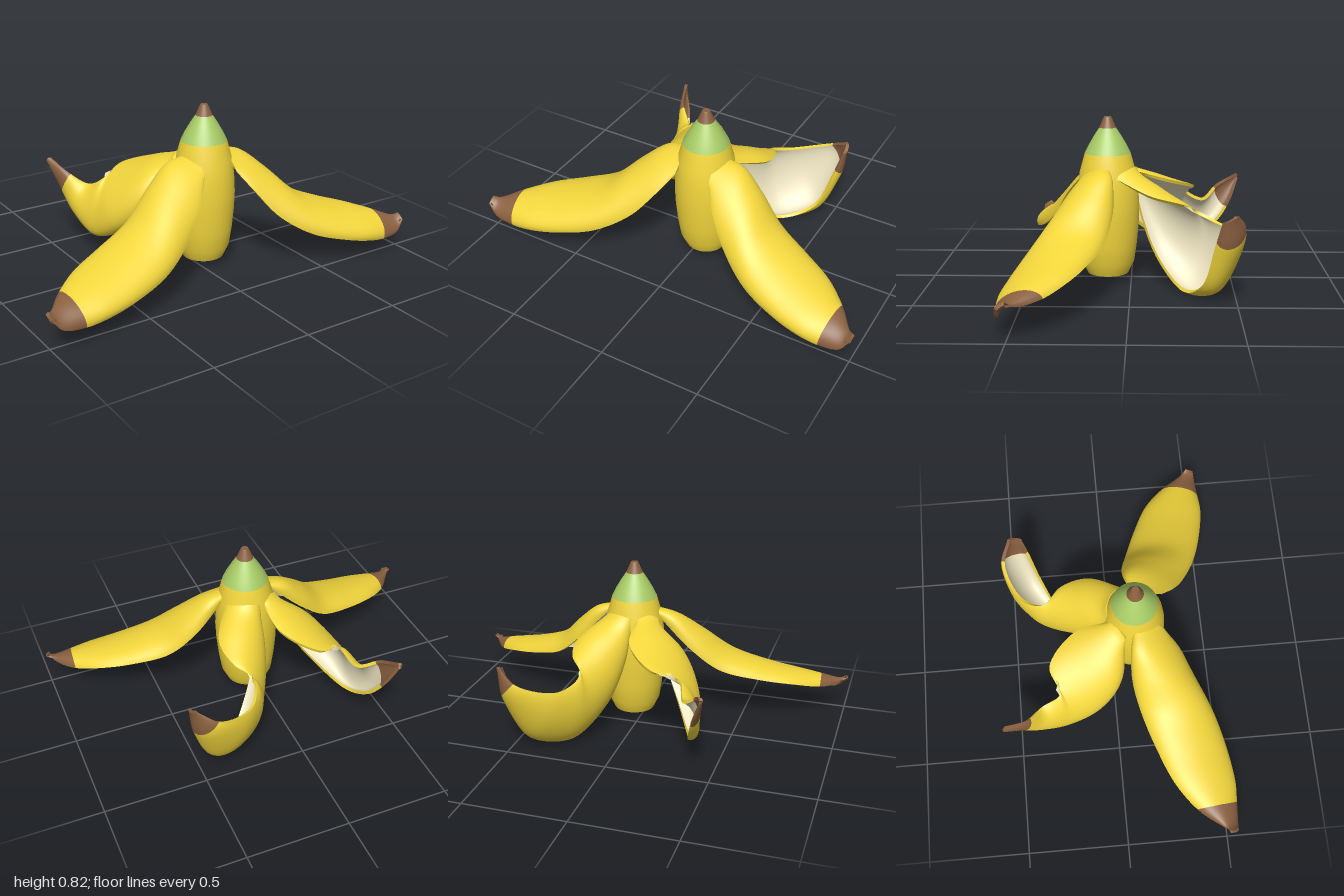
import * as THREE from 'three';

const mat = (color, side = THREE.DoubleSide) => new THREE.MeshStandardMaterial({ color, side });
const YELLOW = mat(0xf2d63c), GREEN = mat(0xa9cc66), BROWN = mat(0x8a6040), CREAM = mat(0xede4c0);
const CORE = { x: 0.045, z: 0.115 };

function addMesh(parent, name, geometry, material) {
  const mesh = new THREE.Mesh(geometry, material);
  mesh.name = name;
  parent.add(mesh);
  return mesh;
}

// Grid surface over point function f(a, b), a and b in 0..1
function sheet(f, na, nb, flip) {
  const pos = [], idx = [];
  for (let i = 0; i <= na; i++)
    for (let j = 0; j <= nb; j++) pos.push(...f(i / na, j / nb).toArray());
  for (let i = 0; i < na; i++)
    for (let j = 0; j < nb; j++) {
      const a = i * (nb + 1) + j, b = a + 1, c = a + nb + 1, d = c + 1;
      idx.push(...(flip ? [a, c, b, b, c, d] : [a, b, c, b, d, c]));
    }
  const g = new THREE.BufferGeometry();
  g.setAttribute('position', new THREE.Float32BufferAttribute(pos, 3));
  g.setIndex(idx);
  g.computeVertexNormals();
  return g;
}

// Peel: curved strip through two edge curves and a ridge curve, with thickness
function makePeel(name, edgeA, ridge, edgeB, brownAt) {
  const group = new THREE.Group();
  group.name = name;
  const [A, M, B] = [edgeA, ridge, edgeB].map(
    pts => new THREE.CatmullRomCurve3(pts.map(p => new THREE.Vector3(...p)), false, 'centripetal'));

  // elliptical cross-section from edge A over the ridge to edge B
  const outer = (t, v) => {
    const a = A.getPoint(t), b = B.getPoint(t), mid = a.clone().lerp(b, 0.5);
    const bulge = M.getPoint(t).sub(mid);
    return mid.addScaledVector(b.sub(a), -0.5 * Math.cos(Math.PI * v))
      .addScaledVector(bulge, Math.sin(Math.PI * v));
  };
  const rawNormal = (t, v) => {
    const e = 0.004, t0 = Math.max(t - e, 0), t1 = Math.min(t + e, 1);
    const v0 = Math.max(v - e, 0.002), v1 = Math.min(v + e, 0.998);
    const dt = outer(t1, v).sub(outer(t0, v)), dv = outer(t, v1).sub(outer(t, v0));
    return dv.cross(dt).normalize();
  };
  const out = M.getPoint(0.4).sub(A.getPoint(0.4).lerp(B.getPoint(0.4), 0.5));
  const sign = Math.sign(rawNormal(0.4, 0.5).dot(out));
  const inner = (t, v) => outer(t, v).addScaledVector(rawNormal(t, v), -0.016 * sign);

  const section = (label, t0, t1, n, skin, lining) => {
    const at = s => t0 + (t1 - t0) * s;
    addMesh(group, label + 'Skin', sheet((s, v) => outer(at(s), v), n, 24, sign < 0), skin);
    addMesh(group, label + 'Lining', sheet((s, v) => inner(at(s), v), n, 24, sign > 0), lining);
    for (const v of [0, 1])
      addMesh(group, label + 'Rim', sheet((s, k) => outer(at(s), v).lerp(inner(at(s), v), k), n, 1, v > 0), skin);
  };
  section('peel', 0, brownAt, 40, YELLOW, CREAM);
  section('tip', brownAt, 1, 10, BROWN, BROWN);
  for (const [t, m] of [[0, YELLOW], [1, BROWN]])
    addMesh(group, 'endRim', sheet((v, k) => outer(t, v).lerp(inner(t, v), k), 24, 1, t > 0), m);
  return group;
}

export function createModel() {
  const model = new THREE.Group();
  model.name = 'peeledBanana';

  // Upright body: yellow base, green neck, brown stem
  const body = new THREE.Group();
  body.name = 'body';
  body.position.set(CORE.x, 0, CORE.z);
  const lathe = (name, pts, m) =>
    addMesh(body, name, new THREE.LatheGeometry(pts.map(p => new THREE.Vector2(...p)), 40), m);
  lathe('fruit', [[0.102, 0.04], [0.13, 0.1], [0.143, 0.19], [0.152, 0.29], [0.155, 0.38],
    [0.15, 0.47], [0.139, 0.55], [0.113, 0.643]], YELLOW);
  lathe('neck', [[0.113, 0.643], [0.095, 0.68], [0.066, 0.73], [0.041, 0.768]], GREEN);
  lathe('stem', [[0.041, 0.768], [0.021, 0.815], [0.017, 0.822]], BROWN);
  const base = addMesh(body, 'baseCap', new THREE.CircleGeometry(0.102, 40), YELLOW);
  base.rotation.x = Math.PI / 2;
  base.position.y = 0.04;
  const top = addMesh(body, 'stemCap', new THREE.CircleGeometry(0.017, 40), BROWN);
  top.rotation.x = -Math.PI / 2;
  top.position.y = 0.822;
  model.add(body);

  // Long front peels: the right one mirrors the left, stretched to its own root
  const front = [
    [[0.17, 0.56, 0.1], [0.23, 0.5, 0.085], [0.33, 0.4, 0.08], [0.46, 0.29, 0.115], [0.63, 0.235, 0.18],
      [0.78, 0.2, 0.255], [0.9, 0.16, 0.36], [0.97, 0.15, 0.46], [1, 0.18, 0.5]],
    [[0.14, 0.58, 0.17], [0.24, 0.555, 0.18], [0.35, 0.46, 0.25], [0.48, 0.335, 0.33], [0.63, 0.265, 0.39],
      [0.78, 0.215, 0.45], [0.89, 0.185, 0.48], [0.97, 0.16, 0.51], [1, 0.165, 0.53]],
    [[0.14, 0.5, 0.26], [0.2, 0.41, 0.33], [0.3, 0.28, 0.4], [0.45, 0.18, 0.48], [0.63, 0.125, 0.535],
      [0.77, 0.095, 0.555], [0.87, 0.085, 0.555], [0.96, 0.1, 0.55], [1, 0.15, 0.54]],
  ];
  const mirrored = front.map(c => c.map(([x, y, z]) => [-0.06 - (x - 0.15) * 1.106, y, z]));
  model.add(makePeel('frontLeftPeel', ...front, 0.74));
  model.add(makePeel('frontRightPeel', ...mirrored, 0.74));

  // Curled rear peels, twisting so the lining opens sideways
  model.add(makePeel('rearLeftPeel',
    [[0.17, 0.54, 0.08], [0.27, 0.47, -0.1], [0.25, 0.43, -0.24], [0.18, 0.38, -0.33],
      [0.24, 0.33, -0.45], [0.42, 0.37, -0.53], [0.53, 0.44, -0.49]],
    [[0.1, 0.58, -0.01], [0.08, 0.47, -0.13], [0.1, 0.3, -0.26], [0.18, 0.14, -0.37],
      [0.36, 0.1, -0.46], [0.51, 0.27, -0.49], [0.55, 0.42, -0.46]],
    [[0.01, 0.55, 0], [0.06, 0.32, -0.05], [0.14, 0.13, -0.13], [0.28, 0.01, -0.25],
      [0.44, 0.09, -0.34], [0.51, 0.29, -0.39], [0.54, 0.41, -0.42]], 0.86));
  model.add(makePeel('rearRightPeel',
    [[0, 0.55, 0], [-0.02, 0.5, -0.18], [-0.17, 0.44, -0.32], [-0.3, 0.39, -0.28],
      [-0.34, 0.34, -0.37], [-0.42, 0.4, -0.45], [-0.455, 0.45, -0.555]],
    [[-0.04, 0.58, 0.02], [-0.23, 0.45, -0.02], [-0.35, 0.3, -0.14], [-0.39, 0.21, -0.25],
      [-0.42, 0.24, -0.37], [-0.45, 0.34, -0.47], [-0.478, 0.44, -0.56]],
    [[-0.1, 0.55, 0.06], [-0.16, 0.3, 0.02], [-0.25, 0.17, -0.1], [-0.34, 0.1, -0.27],
      [-0.38, 0.18, -0.43], [-0.42, 0.3, -0.52], [-0.462, 0.42, -0.565]], 0.8));
  return model;
}
